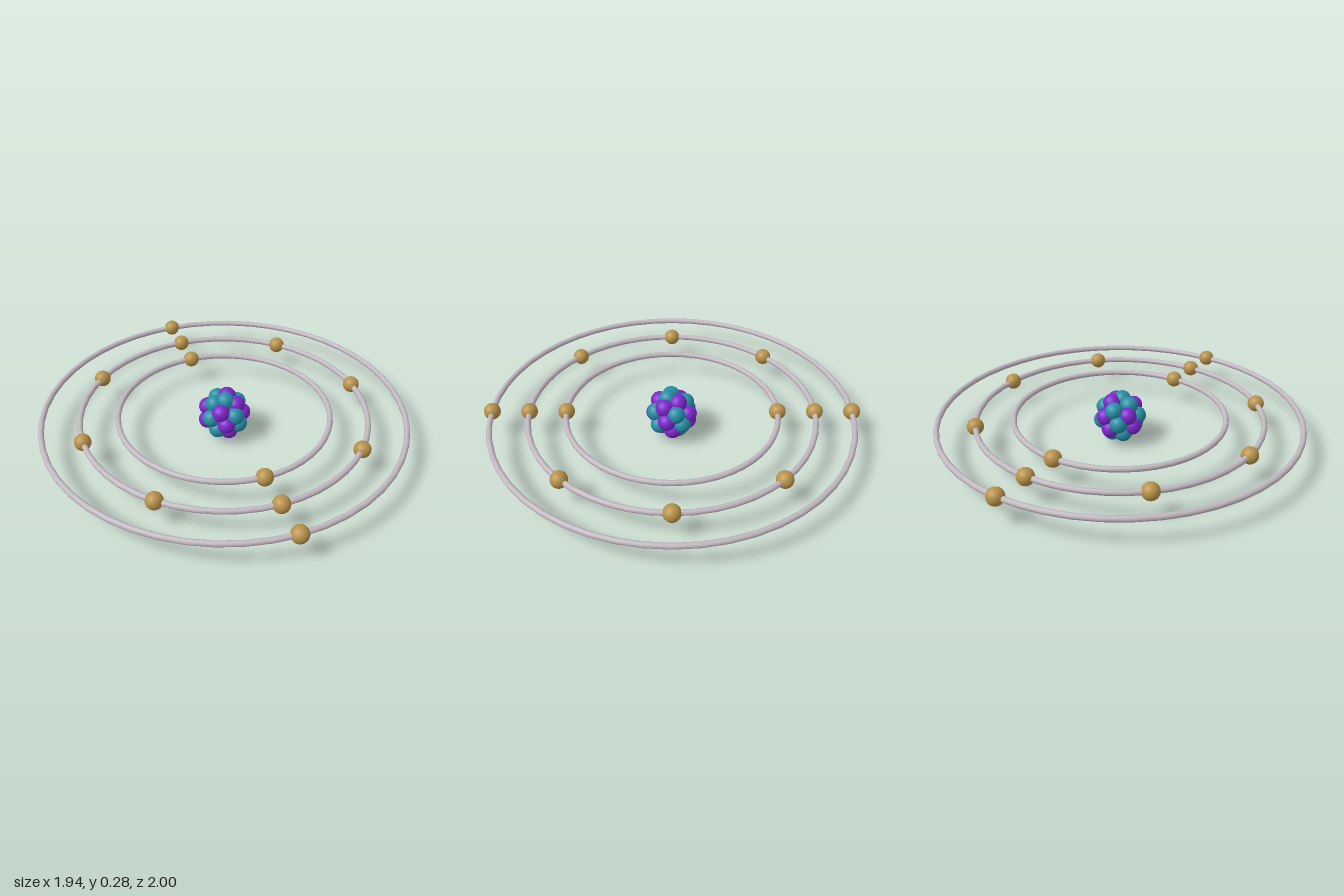
import * as THREE from 'three';

const RING_Y = 0.148;
const ELECTRON_RADIUS = 0.044;
const NUCLEON_RADIUS = 0.047;
const SHELL_RADIUS = 0.093;
const NUCLEON_COUNT = 24;

const paint = (color) => new THREE.MeshStandardMaterial({ color });

function addMesh(parent, name, geometry, material, x = 0, y = 0, z = 0) {
  const mesh = new THREE.Mesh(geometry, material);
  mesh.name = name;
  mesh.position.set(x, y, z);
  parent.add(mesh);
  return mesh;
}

export function createModel() {
  const model = new THREE.Group();
  model.name = 'atom';

  const ringMaterial = paint(0xc2b8c0);
  const electronMaterial = paint(0xb8924a);
  const protonMaterial = paint(0x7d26cd);
  const neutronMaterial = paint(0x2690a6);

  // Nucleus: overlapping balls spread evenly over a small sphere
  const nucleus = new THREE.Group();
  nucleus.name = 'nucleus';
  nucleus.position.y = 0.141;
  model.add(nucleus);
  const nucleonGeometry = new THREE.SphereGeometry(NUCLEON_RADIUS, 24, 16);
  const goldenAngle = Math.PI * (3 - Math.sqrt(5));
  for (let i = 0; i < NUCLEON_COUNT; i++) {
    const h = 1 - (2 * (i + 0.3)) / (NUCLEON_COUNT - 0.4);
    const r = Math.sqrt(1 - h * h);
    const a = i * goldenAngle;
    const isProton = i % 2 === 1;
    addMesh(nucleus, isProton ? 'proton' : 'neutron', nucleonGeometry,
      isProton ? protonMaterial : neutronMaterial,
      SHELL_RADIUS * r * Math.sin(a), SHELL_RADIUS * h, SHELL_RADIUS * r * Math.cos(a));
  }

  // Flat orbits, each with evenly spaced electrons starting at the front
  const electronGeometry = new THREE.SphereGeometry(ELECTRON_RADIUS, 32, 20);
  const orbits = [
    { name: 'innerOrbit', radius: 0.56, electrons: 2 },
    { name: 'middleOrbit', radius: 0.757, electrons: 8 },
    { name: 'outerOrbit', radius: 0.955, electrons: 2 },
  ];
  for (const { name, radius, electrons } of orbits) {
    const orbit = new THREE.Group();
    orbit.name = name;
    orbit.position.y = RING_Y;
    model.add(orbit);

    const ring = new THREE.TorusGeometry(radius, 0.015, 12, 48).rotateX(Math.PI / 2);
    addMesh(orbit, 'ring', ring, ringMaterial);

    for (let i = 0; i < electrons; i++) {
      const a = (i / electrons) * Math.PI * 2;
      addMesh(orbit, 'electron', electronGeometry, electronMaterial,
        radius * Math.sin(a), 0, radius * Math.cos(a));
    }
  }

  return model;
}
